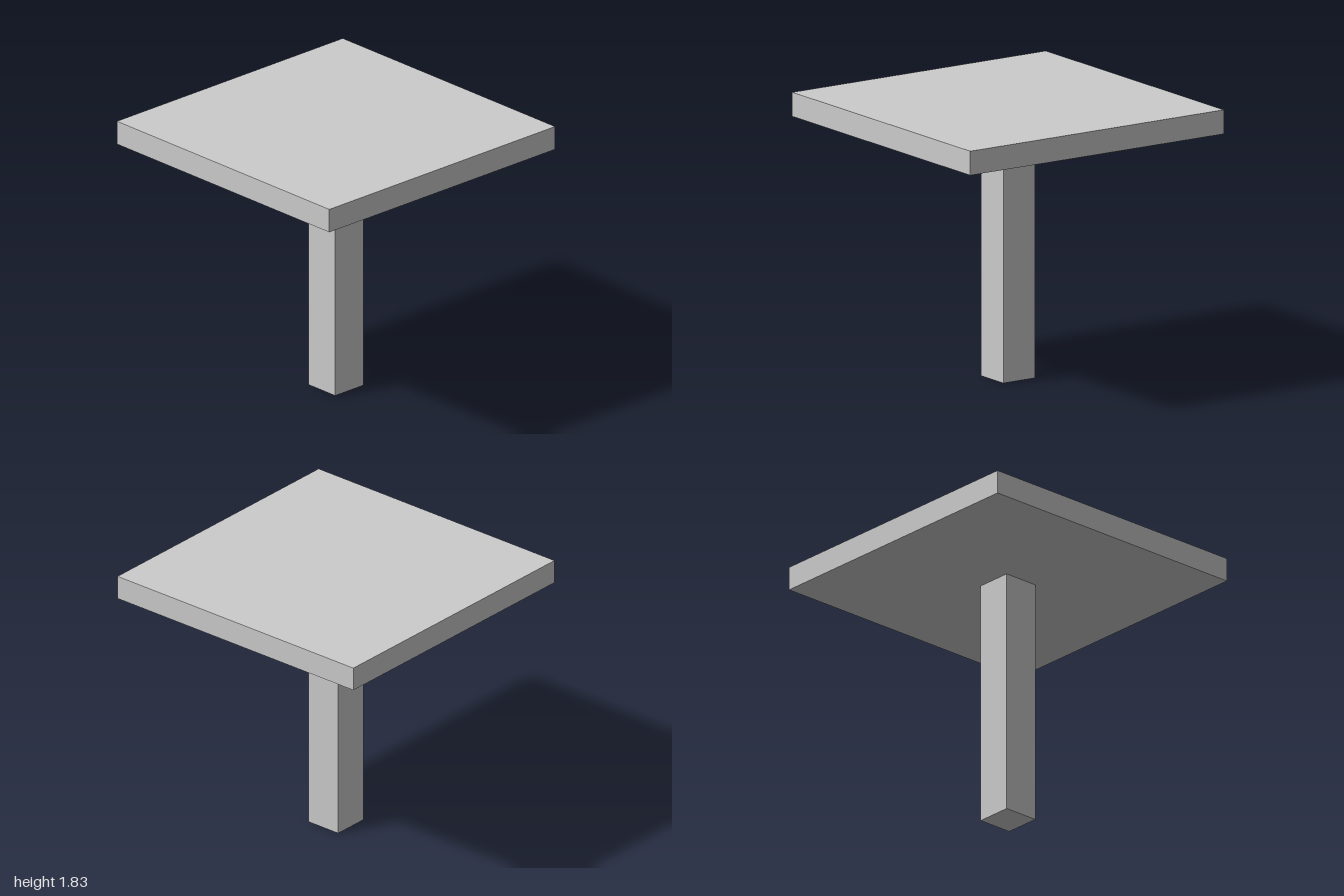
import * as THREE from 'three';

const material = new THREE.MeshStandardMaterial({ color: 0xcccccc });

// Square block of a given width, spanning the heights bottom to top
function squareBlock(name, width, bottom, top) {
  const mesh = new THREE.Mesh(new THREE.BoxGeometry(width, top - bottom, width), material);
  mesh.name = name;
  mesh.position.y = (bottom + top) / 2;
  return mesh;
}

export function createModel() {
  const table = new THREE.Group();
  table.name = 'pedestalTable';
  const underside = 1.67;
  table.add(
    squareBlock('post', 0.25, 0, underside), // central leg
    squareBlock('tableTop', 2, underside, 1.83), // slab
  );
  return table;
}
